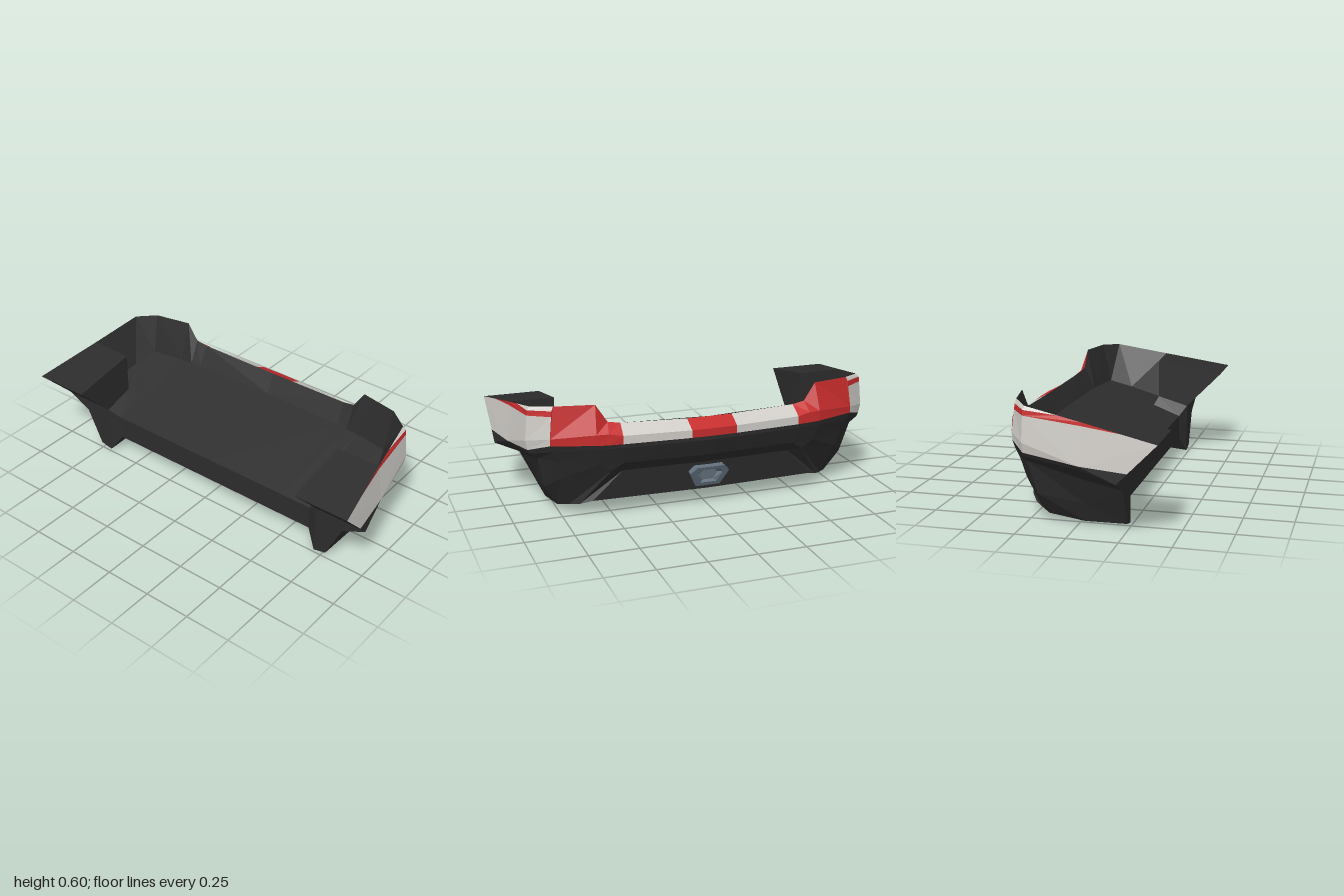
import * as THREE from 'three';

const paint = (name, color) => {
  const m = new THREE.MeshStandardMaterial({ color, flatShading: true, side: THREE.DoubleSide });
  m.name = name;
  return m;
};

// Mesh made of flat polygons, each mirrored to the other side
function panel(name, material, polygons) {
  const pos = [];
  for (const p of polygons) {
    for (let i = 1; i < p.length - 1; i++) {
      const tri = [p[0], p[i], p[i + 1]];
      for (const v of tri) pos.push(...v);
      for (const v of tri.reverse()) pos.push(-v[0], v[1], v[2]);
    }
  }
  const g = new THREE.BufferGeometry();
  g.setAttribute('position', new THREE.Float32BufferAttribute(pos, 3));
  g.computeVertexNormals();
  const mesh = new THREE.Mesh(g, material);
  mesh.name = name;
  return mesh;
}

// Quads between two rails, from station i0 to i1
function strip(a, b, i0 = 0, i1 = a.length - 1) {
  const out = [];
  for (let i = i0; i < i1; i++) out.push([a[i], a[i + 1], b[i + 1], b[i]]);
  return out;
}
const pick = (rail, ids) => ids.map((i) => rail[i]);
const mix = (a, b, t) => a.map((v, i) => v + (b[i] - v) * t);

export function createModel() {
  const dark = paint('dark plastic', 0x2c2c2c);
  const white = paint('white paint', 0xcfccc7);
  const red = paint('red paint', 0xc62c2c);
  const steel = paint('blue grey steel', 0x64727e);
  const model = new THREE.Group();
  model.name = 'bumper';

  // Rails run from the middle, round the rear corner, to the front of the wing
  const top = [[0, .485, -.355], [.12, .485, -.354], [.465, .496, -.344], [.53, .508, -.342], [.59, .6, -.34],
    [.79, .6, -.3], [.89, .59, -.226], [.935, .538, .06], [1, .47, .43]];
  const belt = [[0, .445, -.432], [.12, .445, -.43], [.47, .448, -.408], [.54, .46, -.397], [.6, .46, -.39],
    [.815, .44, -.318], [.92, .42, -.235], [.957, .335, .05], [.992, .325, .288]];
  const paintEdge = [[0, .405, -.432], [.12, .405, -.43], [.47, .405, -.408], [.54, .405, -.4], [.6, .405, -.39],
    [.815, .405, -.316], [.91, .37, -.233], [.957, .335, .05], [.99, .27, .235]];

  // Lower rails use fewer stations
  const low = [0, 2, 4, 5, 6, 7, 8];
  const lip = [[0, .385, -.432], [.47, .385, -.405], [.6, .38, -.383], [.8, .37, -.31],
    [.9, .35, -.232], [.945, .315, .05], [.985, .265, .235]];
  const under = [[0, .295, -.395], [.46, .295, -.373], [.58, .295, -.356], [.78, .31, -.29],
    [.86, .32, -.23], [.875, .25, .05], [.86, .205, .235]];
  const recess = [[0, .24, -.345], [.45, .238, -.322], [.52, .25, -.35], [.76, .21, -.265],
    [.825, .15, -.19], [.815, .115, .04], [.855, .195, .235]];
  const bottomBack = [[0, .085, -.32], [.6, .08, -.288], [.66, .058, -.252], [.705, .045, -.205],
    [.755, .035, -.155], [.775, .015, .03], [.77, .015, .235]];
  const bottomMid = [[0, .04, -.15], [.47, .035, -.15], [.6, .03, -.15], [.65, .03, -.15],
    [.66, .03, -.13], [.69, .016, .115], [.7, 0, .235]];
  const sillEnd = [.64, .09, .2];
  const sill = [[0, .09, .2], [.47, .09, .2], [.6, .09, .2], sillEnd, sillEnd, sillEnd, sillEnd];

  // Inner rails
  const inner = [0, 2, 3, 4, 5, 6, 7];
  const deckFront = [.64, .22, .2], deckCorner = [.64, .265, .04], deckSide = [.87, .28, .04];
  const floorFront = [...[0, .47, .53, .6].map((x) => [x, .22, .2]), deckFront, deckFront, deckCorner];
  const floorBack = [[0, .385, -.3], [.47, .385, -.29], [.53, .385, -.285], [.6, .385, -.28],
    [.78, .385, -.25], [.82, .345, -.13], deckSide];

  // Painted rear band
  const whole = (i0, i1) => [...strip(top, belt, i0, i1), ...strip(belt, paintEdge, i0, i1)];
  model.add(panel('centreBand', red, whole(0, 1)));
  model.add(panel('rearBand', white, whole(1, 2)));
  model.add(panel('cornerHorn', red, whole(2, 5)));

  // Wing side: bevelled top edge and a red stripe tapering toward the front
  const upper5 = [.8, .578, -.305], upper6 = [.905, .573, -.231];
  const lower5 = [.803, .55, -.308], lower6 = [.908, .547, -.232];
  const lower7 = mix(top[7], belt[7], .085);
  const stripeStart = mix(top[6], top[7], .6);
  const stripeTip = mix(top[7], top[8], .53);
  model.add(panel('wingSide', white, [
    [top[5], top[6], upper6, upper5],
    [top[6], stripeStart, upper6],
    ...strip([lower5, lower6, lower7], pick(belt, [5, 6, 7])),
    ...strip(belt, paintEdge, 5, 7),
    [belt[7], lower7, stripeTip, top[8], belt[8]],
  ]));
  model.add(panel('wingStripe', red, [
    [upper5, upper6, lower6, lower5],
    [lower6, upper6, stripeStart, top[7], lower7],
    [top[7], stripeTip, lower7],
  ]));
  model.add(panel('hornEdge', red, [[top[5], upper5, lower5, belt[5]]]));
  model.add(panel('wingLowerCorner', dark, [[belt[7], belt[8], paintEdge[8]]]));

  // Dark skirt and underside
  const skirt = [pick(paintEdge, low), lip, under, recess, bottomBack, bottomMid, sill];
  const names = ['bandLip', 'upperSkirt', 'skirtStep', 'lowerSkirt', 'undersideRear', 'undersideFront'];
  names.forEach((n, i) => model.add(panel(n, dark, strip(skirt[i], skirt[i + 1]))));

  // Front sill, sloping deck and inner wall
  model.add(panel('frontSill', dark, [
    [[0, .09, .2], sillEnd, deckFront, [0, .22, .2]],
    [sillEnd, [.7, 0, .235], [.7, .27, .235], deckFront],
  ]));
  model.add(panel('deck', dark, strip(floorFront, floorBack)));
  model.add(panel('innerWall', dark, strip(floorBack, pick(top, inner))));

  // End block with a bevelled foot, and the leg below it
  const blockBack = [.7, .535, .065], blockFront = [.7, .47, .43];
  const blockBase = [.7, .27, .235], blockFoot = [.7, .32, .065], blockSide = [.9, .33, .065];
  model.add(panel('endBlock', dark, [
    [blockFront, top[8], top[7], blockBack],
    [blockBack, top[7], blockSide, blockFoot],
    [blockFront, blockBack, blockFoot, blockBase],
    [blockBase, paintEdge[8], belt[8], top[8], blockFront],
  ]));
  model.add(panel('endBlockFoot', dark, [
    [deckFront, blockBase, blockFoot, deckCorner],
    [deckCorner, blockFoot, blockSide, deckSide],
    [blockSide, top[7], deckSide],
  ]));
  model.add(panel('legFront', dark, [
    [blockBase, [.7, 0, .235], bottomBack[6], recess[6], under[6], lip[6], paintEdge[8]]]));

  // Tow socket: six-sided funnel, leaning out at the top
  const ring = (scale, z, lean) => [[0, .223], [.075, .223], [.105, .19], [.065, .107], [0, .107]]
    .map(([x, y]) => [x * scale, .168 + (y - .168) * scale, z - lean * (.168 + (y - .168) * scale - .107)]);
  const rings = [ring(1, -.315, .13), ring(1, -.337, .41), ring(.68, -.337, .41), ring(.45, -.334, .13)];
  model.add(panel('towSocketFrame', steel, rings.slice(1).flatMap((r, i) => strip(rings[i], r))));
  model.add(panel('towSocketPlate', steel, [rings[3]]));

  return model;
}
